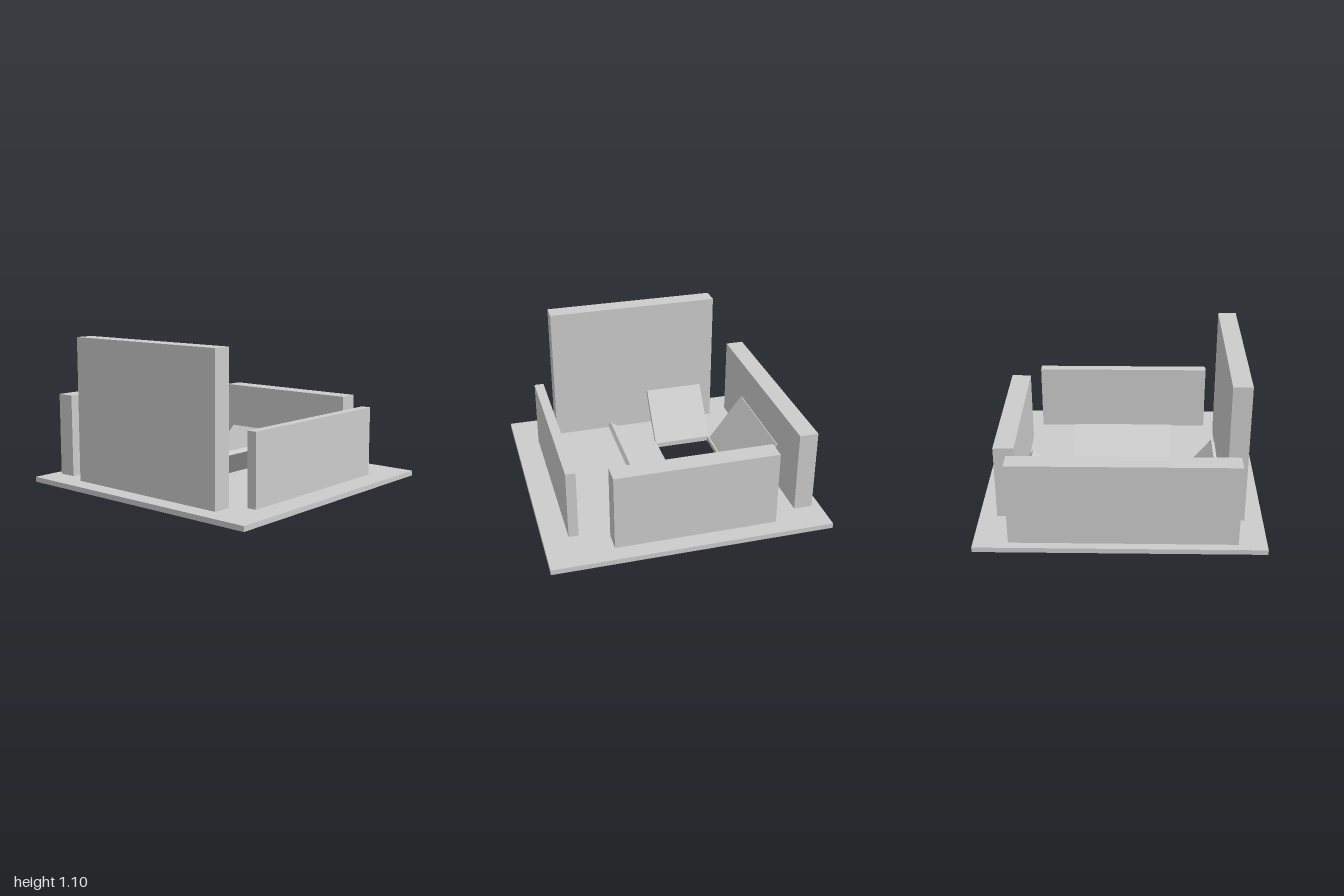
import * as THREE from 'three';

const material = new THREE.MeshStandardMaterial({ color: 0xcccccc, flatShading: true });

function addMesh(parent, name, geometry) {
  const mesh = new THREE.Mesh(geometry, material);
  mesh.name = name;
  parent.add(mesh);
  return mesh;
}

// Upright block given by its extents
function addWall(parent, name, [x0, x1], [y0, y1], [z0, z1]) {
  const wall = addMesh(parent, name, new THREE.BoxGeometry(x1 - x0, y1 - y0, z1 - z0));
  wall.position.set((x0 + x1) / 2, (y0 + y1) / 2, (z0 + z1) / 2);
}

// Board hinged at its lower inner edge, leaning outward; run and rise set its slope
function addFlap(parent, name, { hinge, turn, width, run, rise, thickness }) {
  const length = Math.hypot(run, rise);
  const geometry = new THREE.BoxGeometry(length, thickness, width);
  geometry.translate(length / 2, -thickness / 2, 0);
  geometry.rotateZ(Math.atan2(rise, run));
  const flap = addMesh(parent, name, geometry);
  flap.rotation.y = turn;
  flap.position.set(...hinge);
}

export function createModel() {
  const model = new THREE.Group();
  model.name = 'walledPlatform';

  // Base plate with a rectangular opening (shape y becomes -z)
  const plate = new THREE.Shape([[-1, -1], [1, -1], [1, 1], [-1, 1]].map(p => new THREE.Vector2(...p)));
  plate.holes.push(new THREE.Path(
    [[-0.515, -0.375], [-0.515, 0.375], [-0.09, 0.375], [-0.09, -0.375]].map(p => new THREE.Vector2(...p))));
  const plateGeometry = new THREE.ExtrudeGeometry(plate, { depth: 0.037, bevelEnabled: false });
  plateGeometry.rotateX(-Math.PI / 2);
  addMesh(model, 'basePlate', plateGeometry).position.y = 0.02;

  // Four outer walls; the left one pierces the plate
  addWall(model, 'frontWall', [-0.65, 0.655], [0.05, 1.1], [0.735, 0.87]);
  addWall(model, 'backWall', [-0.62, 0.54], [0.05, 0.61], [-0.875, -0.73]);
  addWall(model, 'rightWall', [-0.94, -0.805], [0.05, 0.66], [-0.76, 0.805]);
  addWall(model, 'leftWall', [0.75, 0.82], [0, 0.565], [-0.67, 0.665]);

  // Four flaps opened outward around the hole
  addFlap(model, 'leftFlap', {
    hinge: [-0.055, 0.055, 0], turn: 0, width: 0.74, run: 0.34, rise: 0.26, thickness: 0.033 });
  addFlap(model, 'rightFlap', {
    hinge: [-0.515, 0.04, -0.027], turn: Math.PI, width: 0.765, run: 0.268, rise: 0.36, thickness: 0.015 });
  addFlap(model, 'backFlap', {
    hinge: [-0.287, 0.035, -0.38], turn: Math.PI / 2, width: 0.425, run: 0.285, rise: 0.25, thickness: 0.046 });
  addFlap(model, 'frontFlap', {
    hinge: [-0.308, 0.045, 0.38], turn: -Math.PI / 2, width: 0.445, run: 0.28, rise: 0.348, thickness: 0.032 });

  return model;
}
